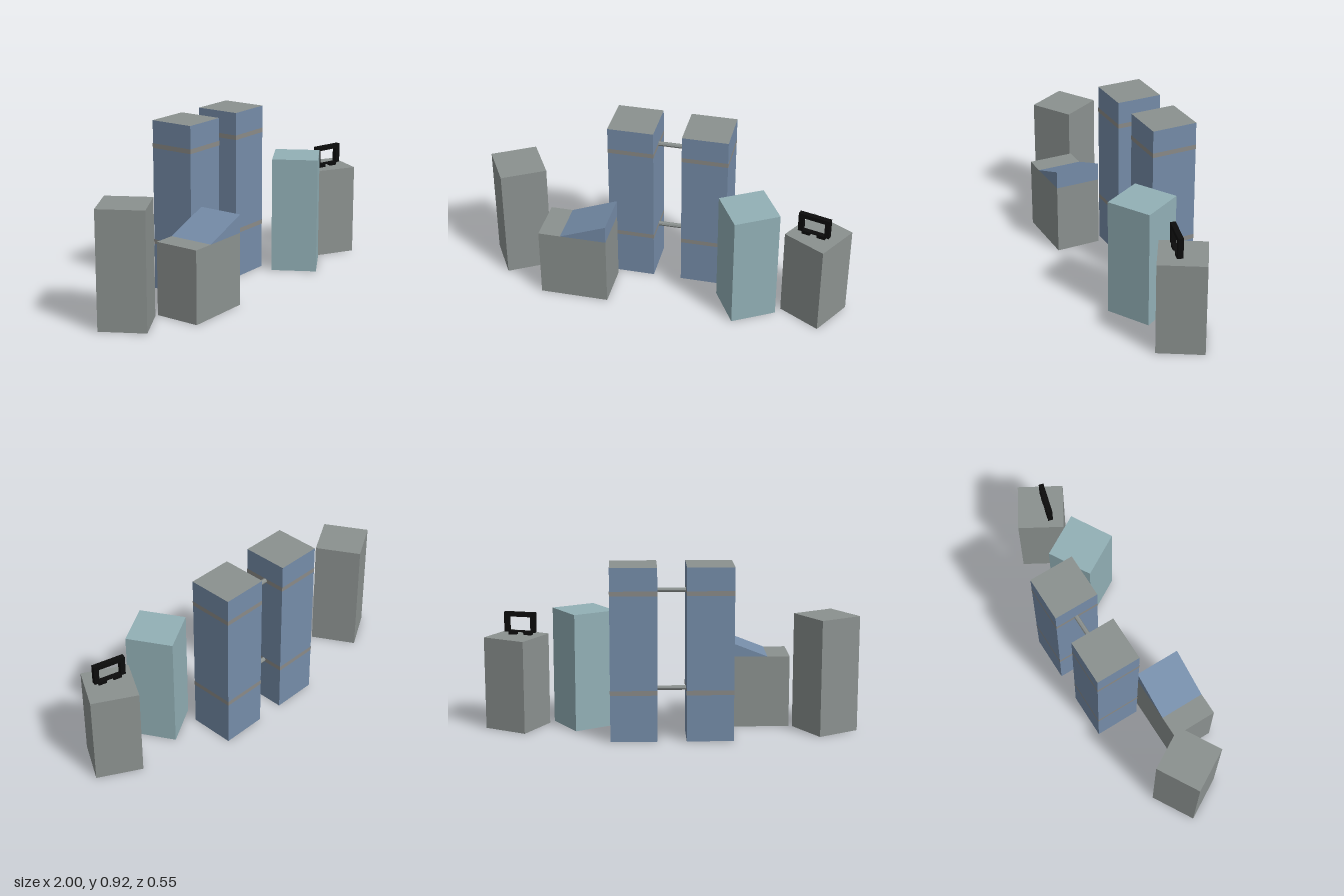
import * as THREE from 'three';

const mat = (name, color, side = THREE.DoubleSide) => {
  const m = new THREE.MeshStandardMaterial({ color, side });
  m.name = name;
  return m;
};

// Box resting on y = 0 with some faces left out; group 0 = walls, group 1 = top
function shellGeometry(w, h, d, hasTop = true) {
  const g = new THREE.BoxGeometry(w, h, d).translate(0, h / 2, 0);
  const i = Array.from(g.index.array);
  const walls = [...i.slice(0, 12), ...i.slice(24, 36)];
  g.setIndex(hasTop ? [...walls, ...i.slice(12, 18)] : walls);
  g.clearGroups();
  g.addGroup(0, 24, 0);
  if (hasTop) g.addGroup(24, 6, 1);
  return g;
}

export function createModel() {
  const root = new THREE.Group();
  root.name = 'blockComplex';
  const grey = mat('concrete grey', 0x8b918f);
  const blue = mat('slate blue', 0x758ca8);
  const teal = mat('pale teal', 0x92b0b6);
  const bandGrey = mat('band grey', 0x8a8a87);
  const black = mat('black', 0x0c0c0c);

  const add = (parent, name, geo, material, x = 0, y = 0, z = 0) => {
    const m = new THREE.Mesh(geo, material);
    m.name = name;
    m.position.set(x, y, z);
    parent.add(m);
    return m;
  };

  // Twin towers with bands, hollow and open below
  const S = 0.247, towerZ = -0.152;
  const levels = [0.262, 0.787];
  for (const [name, x] of [['rightTower', -0.198], ['leftTower', 0.202]]) {
    const tower = new THREE.Group();
    tower.name = name;
    tower.position.set(x, 0, towerZ);
    root.add(tower);
    add(tower, 'towerShell', shellGeometry(S, 0.922, S), [blue, grey]);
    for (const y of levels)
      add(tower, 'towerBand', shellGeometry(S + 0.002, 0.025, S + 0.002, false), [bandGrey], 0, y - 0.0125, 0);
  }

  // Bridges between the towers
  for (const y of levels) {
    const geo = new THREE.CylinderGeometry(0.0125, 0.0125, 0.154, 8).toNonIndexed();
    geo.rotateZ(Math.PI / 2);
    geo.computeVertexNormals();
    add(root, 'bridge', geo, grey, 0.002, y, -0.157);
  }

  // Turned blocks
  const turned = [
    ['rightBlock', -0.83, -0.046, 0.627, 30, grey],
    ['tealBlock', 0.467, 0.104, 0.637, 30, teal],
    ['handleBlock', 0.83, 0.065, 0.502, -30, grey],
  ];
  for (const [name, x, z, h, deg, m] of turned)
    add(root, name, shellGeometry(0.249, h, 0.249), [m, m], x, 0, z).rotation.y = THREE.MathUtils.degToRad(deg);

  // Low block with a sloped roof
  add(root, 'lowBlock', shellGeometry(0.37, 0.39, 0.248), [grey, grey], -0.456, 0, 0.125);
  const slope = new THREE.Shape([
    new THREE.Vector2(-0.521, 0.39),
    new THREE.Vector2(-0.271, 0.39),
    new THREE.Vector2(-0.271, 0.488),
  ]);
  add(root, 'slopedRoof', new THREE.ExtrudeGeometry(slope, { depth: 0.248, bevelEnabled: false }), blue, 0, 0, 0.001);

  // Black frame on the end block
  const frame = new THREE.Group();
  frame.name = 'roofFrame';
  frame.position.set(0.809, 0, 0.09);
  frame.rotation.y = THREE.MathUtils.degToRad(-15);
  root.add(frame);
  const bar = (name, w, h, d, x, y) => add(frame, name, new THREE.BoxGeometry(w, h, d), black, x, y, 0);
  bar('frameTop', 0.174, 0.024, 0.027, 0, 0.613);
  for (const s of [-1, 1]) {
    bar('framePost', 0.027, 0.108, 0.027, s * 0.0735, 0.571);
    bar('frameFoot', 0.045, 0.018, 0.026, s * 0.042, 0.51);
  }
  bar('frameSill', 0.15, 0.006, 0.027, 0, 0.52);

  return root;
}
